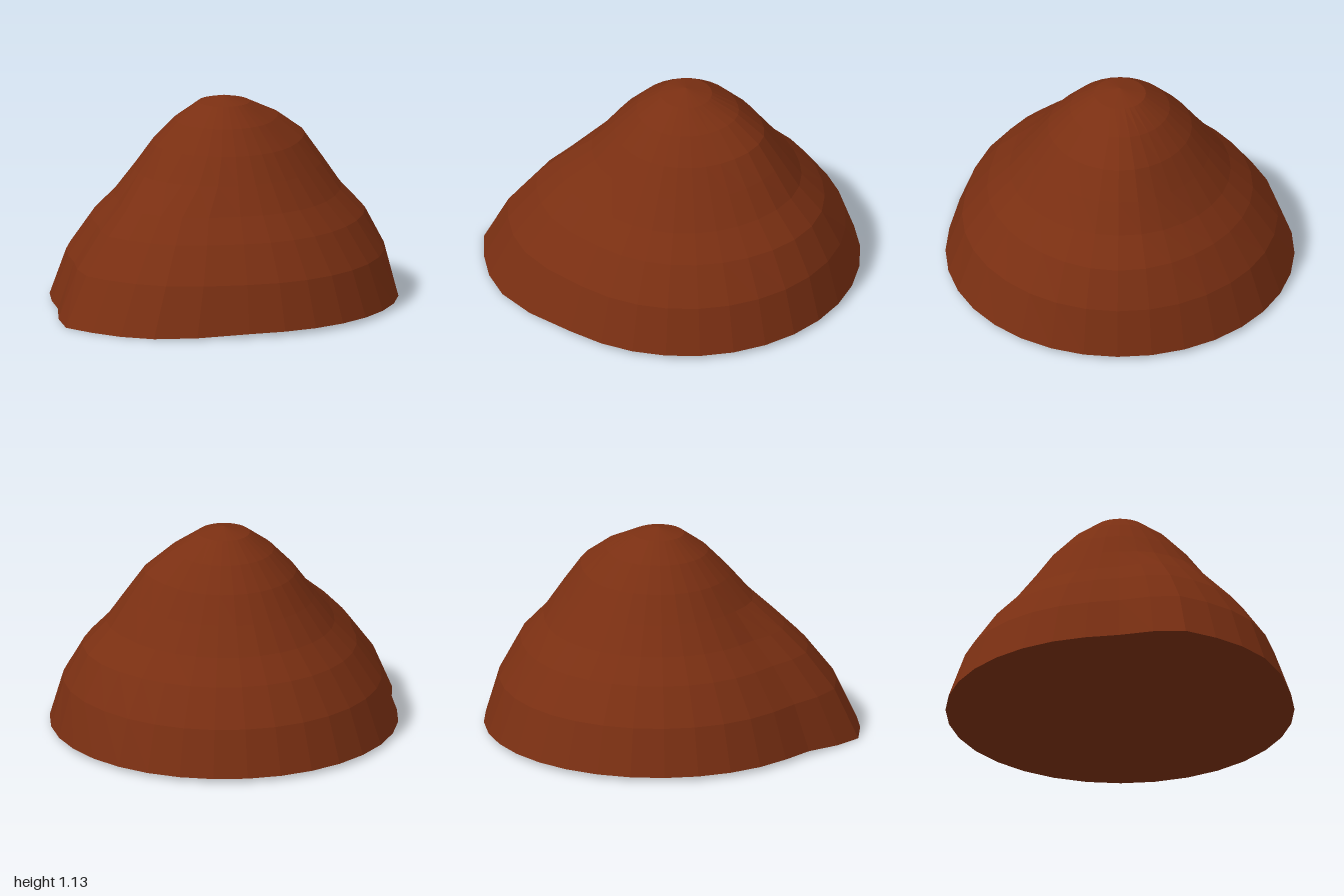
import * as THREE from 'three';

const SEGMENTS = 32;
const STEP = (Math.PI * 2) / SEGMENTS;
const CENTRE_X = 0.05;

// Each ring: radius, height, shift of the front-side lobe, swell outwards and upwards on the +x flank
const RINGS = [
  [0, 0.02, 0, 0, 0],
  [0.945, 0.02, 1, 0, 0],
  [0.855, 0.27, 0.73, 0.025, 0.01],
  [0.72, 0.465, 0.6, 0.06, 0.015],
  [0.6, 0.59, 0.55, 0.05, 0.03],
  [0.49, 0.735, 0.15, 0.06, 0.035],
  [0.39, 0.875, 0, 0.06, 0.035],
  [0.27, 1.0, 0, 0.03, 0.02],
  [0.14, 1.095, 0, 0, 0],
  [0, 1.13, 0, 0, 0],
];

// Sideways push of the lobe, one value per segment from -x round towards +z
const LOBE = [0.015, 0.1, 0.177, 0.175, 0.18, 0.175, 0.12, 0.016];

function createMoundGeometry() {
  const profile = RINGS.map(([r, y]) => new THREE.Vector2(r, y));
  const geometry = new THREE.LatheGeometry(profile, SEGMENTS);
  const pos = geometry.attributes.position;

  for (let i = 0; i < pos.count; i++) {
    const [r, y, lobe, swell, lift] = RINGS[i % RINGS.length];
    if (r === 0) continue;
    const x = pos.getX(i);
    const z = pos.getZ(i);

    // Lobe spilling out at the front of the -x side
    const push = (LOBE[Math.round(Math.atan2(z, -x) / STEP)] ?? 0) * lobe;
    // Soft shoulder on the +x side
    const shoulder = Math.exp(-((Math.atan2(z, x) / 0.55) ** 2));
    const scale = 1 + (swell * shoulder) / r;

    const sag = y < 0.1 ? push * 0.113 : 0;
    pos.setXYZ(i, x * scale - push, Math.max(0, y + lift * shoulder - sag), z * scale);
  }

  geometry.translate(CENTRE_X, 0, 0);
  geometry.computeVertexNormals();
  return geometry;
}

export function createModel() {
  const group = new THREE.Group();
  group.name = 'earthMound';

  const mound = new THREE.Mesh(
    createMoundGeometry(),
    new THREE.MeshStandardMaterial({ color: 0x7a2f12, flatShading: true })
  );
  mound.name = 'mound';
  group.add(mound);
  return group;
}
